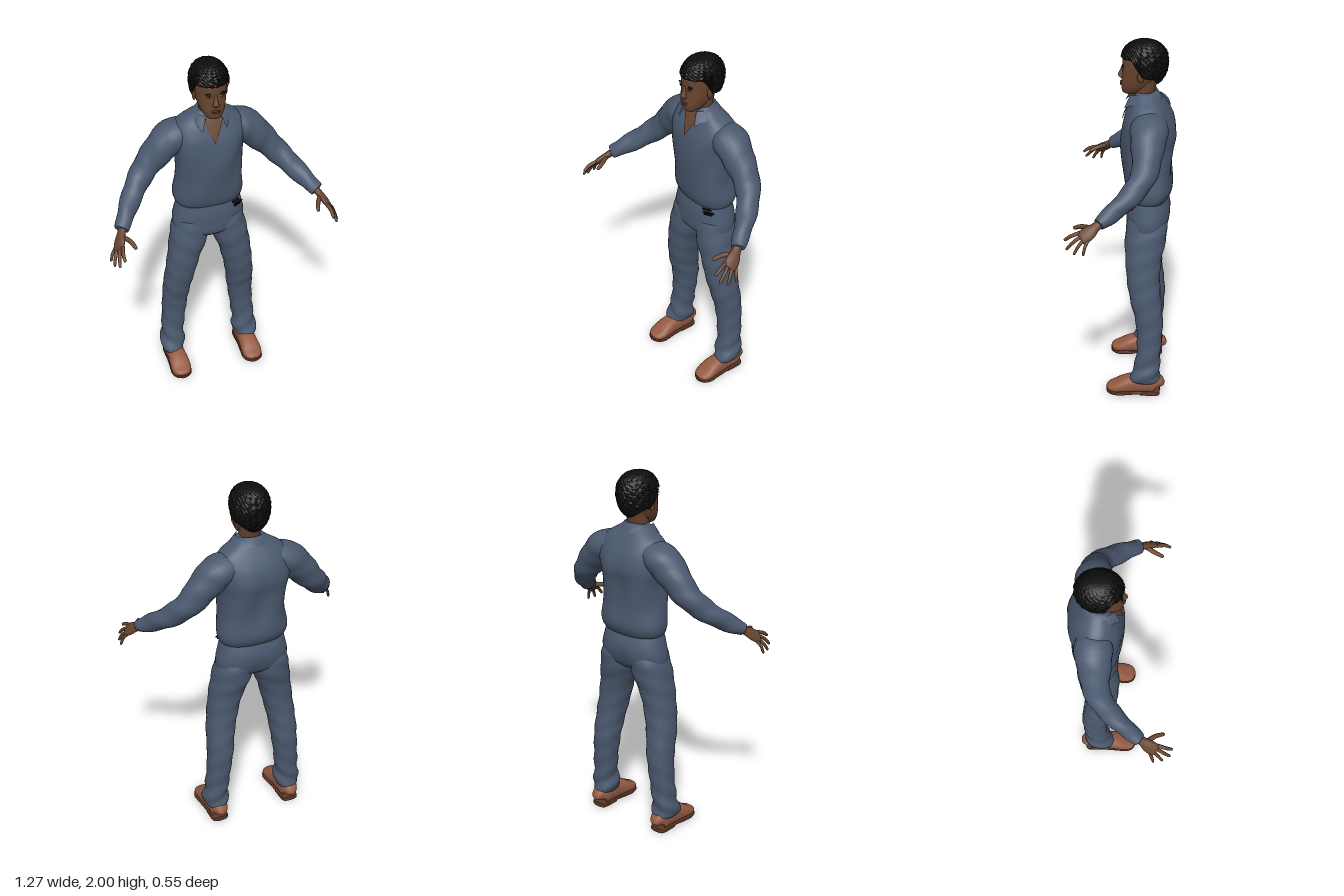
import * as THREE from 'three';

const material = (name, color, extra = {}) => {
  const m = new THREE.MeshStandardMaterial({ color, ...extra });
  m.name = name;
  return m;
};

// Smooth value between rows of numbers (Catmull-Rom on each column)
function sampleRows(rows, t) {
  const i = Math.min(Math.floor(t), rows.length - 2), f = t - i;
  const at = (k) => rows[Math.max(0, Math.min(rows.length - 1, k))];
  const [a, b, c, d] = [at(i - 1), at(i), at(i + 1), at(i + 2)];
  return b.map((_, k) => b[k] + 0.5 * f * (c[k] - a[k]
    + f * (2 * a[k] - 5 * b[k] + 4 * c[k] - d[k] + f * (3 * (b[k] - c[k]) + d[k] - a[k]))));
}

// Closed skin through rows of [x, y, z, radiusU, radiusV].
// Rings lie flat when level is set, otherwise they stand across the path.
function loft(rows, { hint = [1, 0, 0], level = false, seg = 24, sub = 4, power = 1, warp } = {}) {
  const n = (rows.length - 1) * sub, samples = [], pos = [], idx = [];
  for (let j = 0; j <= n; j++) samples.push(sampleRows(rows, j / sub));
  const point = (j) => new THREE.Vector3(...samples[Math.max(0, Math.min(n, j))].slice(0, 3));
  const bend = (v) => Math.sign(v) * Math.abs(v) ** power;
  for (let j = 0; j <= n; j++) {
    const T = level ? new THREE.Vector3(0, 1, 0) : point(j + 1).sub(point(j - 1)).normalize();
    const U = new THREE.Vector3(...hint);
    U.addScaledVector(T, -U.dot(T)).normalize();
    const V = U.clone().cross(T);
    for (let i = 0; i < seg; i++) {
      const a = i / seg * Math.PI * 2, fold = warp ? warp(samples[j], a) : 0;
      const p = point(j).addScaledVector(U, (samples[j][3] + fold) * bend(Math.cos(a)))
        .addScaledVector(V, (samples[j][4] + fold) * bend(Math.sin(a)));
      pos.push(p.x, p.y, p.z);
      if (j < n) {
        const q = j * seg + i, r = j * seg + (i + 1) % seg;
        idx.push(q, q + seg, r, r, q + seg, r + seg);
      }
    }
  }
  const c = pos.length / 3, last = n * seg;
  pos.push(...point(0).toArray(), ...point(n).toArray());
  for (let i = 0; i < seg; i++) {
    const k = (i + 1) % seg;
    idx.push(c, i, k, c + 1, last + k, last + i);
  }
  return surface(pos, idx);
}

function surface(pos, idx) {
  const g = new THREE.BufferGeometry();
  g.setAttribute('position', new THREE.Float32BufferAttribute(pos, 3));
  g.setIndex(idx);
  g.computeVertexNormals();
  return g;
}

// Rows of [y, half width, front z, back z, centre x]
const body = (rows, options) => loft(rows.map(([y, w, f, b, x = 0]) =>
  [x, y, (f + b) / 2, w, (f - b) / 2]), { level: true, ...options });

function mirrorX(geometry) {
  const g = geometry.clone().scale(-1, 1, 1), ix = g.index.array;
  for (let i = 0; i < ix.length; i += 3) [ix[i], ix[i + 1]] = [ix[i + 1], ix[i]];
  g.computeVertexNormals();
  return g;
}

export function createModel() {
  const model = new THREE.Group();
  model.name = 'standingMan';
  const cloth = material('slateCloth', 0x4b596f, { side: THREE.DoubleSide });
  const skin = material('brownSkin', 0x68452f, { side: THREE.DoubleSide });
  const hairMat = material('blackHair', 0x0d0d0d, { flatShading: true });
  const leather = material('tanLeather', 0x945a42);
  const soleMat = material('darkSole', 0x5c3728);
  const lipMat = material('lips', 0x5a3629);
  const eyeMat = material('eyeWhite', 0xa89c90);
  const dark = material('darkDetail', 0x111111);

  const add = (name, geometry, mat) => {
    const m = new THREE.Mesh(geometry, mat);
    m.name = name;
    model.add(m);
    return m;
  };
  const pair = (name, geometry, mat) => {
    add(name + 'Left', geometry, mat);
    add(name + 'Right', mirrorX(geometry), mat);
  };

  // Loose shirt, bloused over the waist
  add('shirt', body([
    [1.125, 0.17, -0.03, -0.225], [1.15, 0.188, -0.015, -0.245], [1.2, 0.195, 0, -0.26],
    [1.3, 0.182, 0.012, -0.255], [1.42, 0.183, 0.022, -0.265], [1.5, 0.195, 0.02, -0.277],
    [1.57, 0.205, 0.008, -0.262], [1.62, 0.195, -0.012, -0.238], [1.66, 0.165, -0.03, -0.212],
    [1.695, 0.11, -0.045, -0.185], [1.725, 0.065, -0.055, -0.155],
  ], {
    seg: 48, power: 0.85,
    warp: ([, y], a) => {
      const spine = -0.014 * Math.exp(-(((a - 4.71) / 0.22) ** 2)) * Math.exp(-(((y - 1.42) / 0.15) ** 2));
      return spine + 0.004 * Math.sin(a * 5 + y * 14) * Math.sin((y - 1.12) * 5);
    },
  }), cloth);

  // Sleeves sweep down and forward
  pair('sleeve', loft([
    [0.1, 1.6, -0.13, 0.08, 0.055], [0.19, 1.57, -0.135, 0.1, 0.085], [0.265, 1.5, -0.13, 0.086, 0.086],
    [0.35, 1.405, -0.12, 0.07, 0.07], [0.43, 1.32, -0.06, 0.058, 0.06],
    [0.5, 1.25, 0.03, 0.047, 0.05], [0.54, 1.212, 0.088, 0.037, 0.041], [0.55, 1.203, 0.102, 0.033, 0.036],
  ], { hint: [0, 0, 1], warp: ([x], a) => 0.003 * Math.sin(x * 75 + a * 2) * Math.min(1, x * 3) }), cloth);

  // Trousers: seat and two legs
  add('trouserSeat', body([
    [0.925, 0.1, -0.04, -0.19], [0.96, 0.19, -0.012, -0.228], [1.02, 0.203, -0.008, -0.248],
    [1.08, 0.192, -0.01, -0.247], [1.14, 0.178, -0.022, -0.228], [1.17, 0.17, -0.03, -0.22],
  ], {
    seg: 40, power: 0.9,
    warp: ([, y], a) => -0.012 * Math.exp(-(((a - 4.71) / 0.18) ** 2)) * Math.exp(-(((y - 0.98) / 0.07) ** 2)),
  }), cloth);
  pair('trouserLeg', body([
    [0.085, 0.058, -0.055, -0.195, 0.225], [0.1, 0.066, -0.043, -0.207, 0.225], [0.14, 0.068, -0.05, -0.208, 0.222],
    [0.2, 0.064, -0.07, -0.205, 0.219], [0.32, 0.066, -0.078, -0.214, 0.208], [0.45, 0.072, -0.068, -0.22, 0.196],
    [0.56, 0.077, -0.042, -0.21, 0.187], [0.68, 0.083, -0.02, -0.2, 0.168], [0.8, 0.091, -0.01, -0.206, 0.145],
    [0.9, 0.104, -0.005, -0.226, 0.117], [0.98, 0.1, -0.012, -0.235, 0.104], [1.04, 0.085, -0.025, -0.22, 0.1],
  ], {
    seg: 28, power: 0.9,
    warp: ([, y], a) => (0.002 + 0.004 * Math.exp(-(((y - 0.15) / 0.1) ** 2))) * Math.sin(y * 55 + a * 2),
  }), cloth);

  // Shoes: rounded upper over a flat sole and heel
  pair('shoe', loft([
    [0.22, 0.045, -0.2, 0.02, 0.03], [0.22, 0.062, -0.188, 0.046, 0.052], [0.22, 0.068, -0.13, 0.05, 0.056],
    [0.22, 0.062, -0.06, 0.051, 0.052], [0.22, 0.054, -0.01, 0.056, 0.042], [0.22, 0.04, 0.04, 0.057, 0.027],
    [0.22, 0.034, 0.075, 0.042, 0.019], [0.22, 0.03, 0.088, 0.015, 0.01],
  ], { power: 0.8 }), leather);
  const slab = (rows, y, h) => loft(rows.map(([z, w]) => [0.22, y, z, w, h]), { power: 0.4 });
  pair('sole', slab([[-0.208, 0.025], [-0.19, 0.047], [-0.1, 0.05], [-0.02, 0.056],
    [0.04, 0.06], [0.078, 0.043], [0.093, 0.012]], 0.017, 0.008), soleMat);
  pair('heel', slab([[-0.208, 0.025], [-0.19, 0.047], [-0.1, 0.048]], 0.008, 0.008), soleMat);
  pair('forefootTread', slab([[-0.05, 0.045], [0.03, 0.055], [0.07, 0.04]], 0.008, 0.007), soleMat);

  // Hands: flat palm, four fingers and a thumb
  const across = [0.5, -0.5, -0.71];
  pair('palm', loft([
    [0.535, 1.218, 0.08, 0.024, 0.02], [0.555, 1.19, 0.118, 0.026, 0.019], [0.572, 1.168, 0.148, 0.037, 0.018],
    [0.588, 1.145, 0.182, 0.038, 0.014], [0.592, 1.139, 0.192, 0.03, 0.008],
  ], { hint: across, seg: 16 }), skin);
  const tips = [[0.58, 1.125, 0.276], [0.606, 1.085, 0.265], [0.625, 1.067, 0.225], [0.632, 1.066, 0.176]];
  const digit = (name, [a, b, c], r) => pair(name, loft([
    [...a, r, r], [...b, r * 0.95, r * 0.95], [...c.map((v, k) => v + (b[k] - v) * 0.15), r * 0.75, r * 0.75],
    [...c, r * 0.25, r * 0.25],
  ], { hint: across, seg: 10, sub: 3 }), skin);
  tips.forEach((tip, i) => {
    const t = -0.03 + i * 0.02;
    const base = [0.585, 1.149, 0.176].map((v, k) => v + across[k] * t);
    const mid = base.map((v, k) => (v + tip[k]) / 2 + [0.005, 0.005, 0.003][k]);
    digit('finger' + (i + 1), [base, mid, tip], 0.0105 - i * 0.0006);
  });
  digit('thumb', [[0.557, 1.183, 0.135], [0.524, 1.178, 0.185], [0.506, 1.16, 0.234]], 0.013);

  // Neck and head
  add('neck', body([
    [1.6, 0.075, -0.035, -0.17], [1.68, 0.058, -0.045, -0.155], [1.74, 0.056, -0.04, -0.16], [1.8, 0.06, -0.04, -0.18],
  ]), skin);
  add('head', body([
    [1.708, 0.022, -0.008, -0.05], [1.718, 0.04, 0.012, -0.08], [1.745, 0.058, 0.019, -0.115],
    [1.78, 0.071, 0.019, -0.15], [1.83, 0.081, 0.014, -0.19], [1.87, 0.085, 0.014, -0.208],
    [1.91, 0.085, 0.012, -0.21], [1.95, 0.072, -0.012, -0.19], [1.975, 0.04, -0.05, -0.15],
  ], { seg: 32, power: 0.85 }), skin);
  add('nose', body([
    [1.79, 0.008, 0.022, 0], [1.8, 0.02, 0.032, 0], [1.81, 0.016, 0.037, 0], [1.835, 0.01, 0.026, 0], [1.862, 0.008, 0.016, 0],
  ], { seg: 12 }), skin);

  // Face details and ears, as flattened balls [name, material, position, size]
  const ball = ([x, y, z], size) => new THREE.SphereGeometry(1, 16, 10).scale(...size).translate(x, y, z);
  add('upperLip', ball([0, 1.769, 0.018], [0.024, 0.005, 0.009]), lipMat);
  add('lowerLip', ball([0, 1.759, 0.018], [0.021, 0.006, 0.009]), lipMat);
  [
    ['eye', eyeMat, [0.034, 1.851, 0.008], [0.014, 0.005, 0.005]],
    ['pupil', dark, [0.034, 1.851, 0.011], [0.005, 0.005, 0.004]],
    ['upperLid', dark, [0.034, 1.856, 0.009], [0.015, 0.002, 0.005]],
    ['eyebrow', hairMat, [0.036, 1.868, 0.008], [0.02, 0.0035, 0.006]],
    ['ear', skin, [0.086, 1.825, -0.085], [0.009, 0.032, 0.018]],
  ].forEach(([name, mat, p, size]) => pair(name, ball(p, size), mat));

  // Short curly hair: a dome whose lower edge drops from forehead to nape
  const hair = new THREE.SphereGeometry(1, 64, 30), hp = hair.attributes.position, uv = hair.attributes.uv;
  for (let i = 0; i < hp.count; i++) {
    const a = uv.getX(i) * Math.PI * 2, v = 1 - uv.getY(i), back = Math.abs(a - Math.PI) / Math.PI;
    const edge = 80 + 42 * THREE.MathUtils.smoothstep(back, 0.3, 0.52) + 30 * THREE.MathUtils.smoothstep(back, 0.55, 1);
    const polar = Math.min(1, v / 0.95) * edge * Math.PI / 180, c = Math.cos(polar);
    const curl = 1 + 0.03 * Math.sin(a * 22) * Math.sin(v * 60) + 0.012 * Math.sin(a * 9 + v * 31);
    const r = Math.sin(polar) ** 0.8 * (v > 0.98 ? 0.72 : curl);
    hp.setXYZ(i, -Math.sin(a) * r * 0.104, 1.89 + c * (c > 0 ? 0.109 : 0.145), -0.102 - Math.cos(a) * r * 0.125);
  }
  hair.computeVertexNormals();
  add('hair', hair, hairMat);

  // Open neckline: skin seen in a V above the shirt front
  const vPos = [], vIdx = [];
  [[1.565, 0.001, 0.017], [1.6, 0.018, 0.006], [1.64, 0.037, -0.012], [1.68, 0.054, -0.03], [1.7, 0.05, -0.042]]
    .forEach(([y, w, z], j) => {
      vPos.push(-w, y, z - 0.004, 0, y, z, w, y, z - 0.004);
      if (j) for (const k of [3 * j - 3, 3 * j - 2]) vIdx.push(k, k + 1, k + 3, k + 1, k + 4, k + 3);
    });
  add('openNeckline', surface(vPos, vIdx), skin);

  // Folded collar, open at the throat, with pointed front ends
  const cPos = [], cIdx = [], steps = 32;
  for (let i = 0; i <= steps; i++) {
    const a = 0.6 + (i / steps) * (Math.PI * 2 - 1.2), f = (1 + Math.cos(a)) / 2, tip = f ** 4;
    const ring = (r, y) => cPos.push(Math.sin(a) * r, y, -0.098 + Math.cos(a) * r * 0.93 + tip * 0.018);
    ring(0.068, 1.705 - 0.02 * f);
    ring(0.074, 1.735 - 0.025 * f);
    ring(0.105 + 0.012 * tip, 1.69 - 0.065 * tip);
    if (i) for (const k of [3 * i - 3, 3 * i - 2]) cIdx.push(k, k + 3, k + 1, k + 1, k + 3, k + 4);
  }
  add('collar', surface(cPos, cIdx), cloth);

  // Small dark bars at the left hip pocket
  [[0.13, 1.133, 0.05], [0.145, 1.119, 0.06], [0.14, 1.105, 0.045]].forEach(([x, y, w], i) => {
    const bar = add('pocketBar' + (i + 1), new THREE.BoxGeometry(w, 0.007, 0.009), dark);
    bar.position.set(x, y, -0.035);
    bar.rotation.y = 0.5;
  });
  return model;
}
